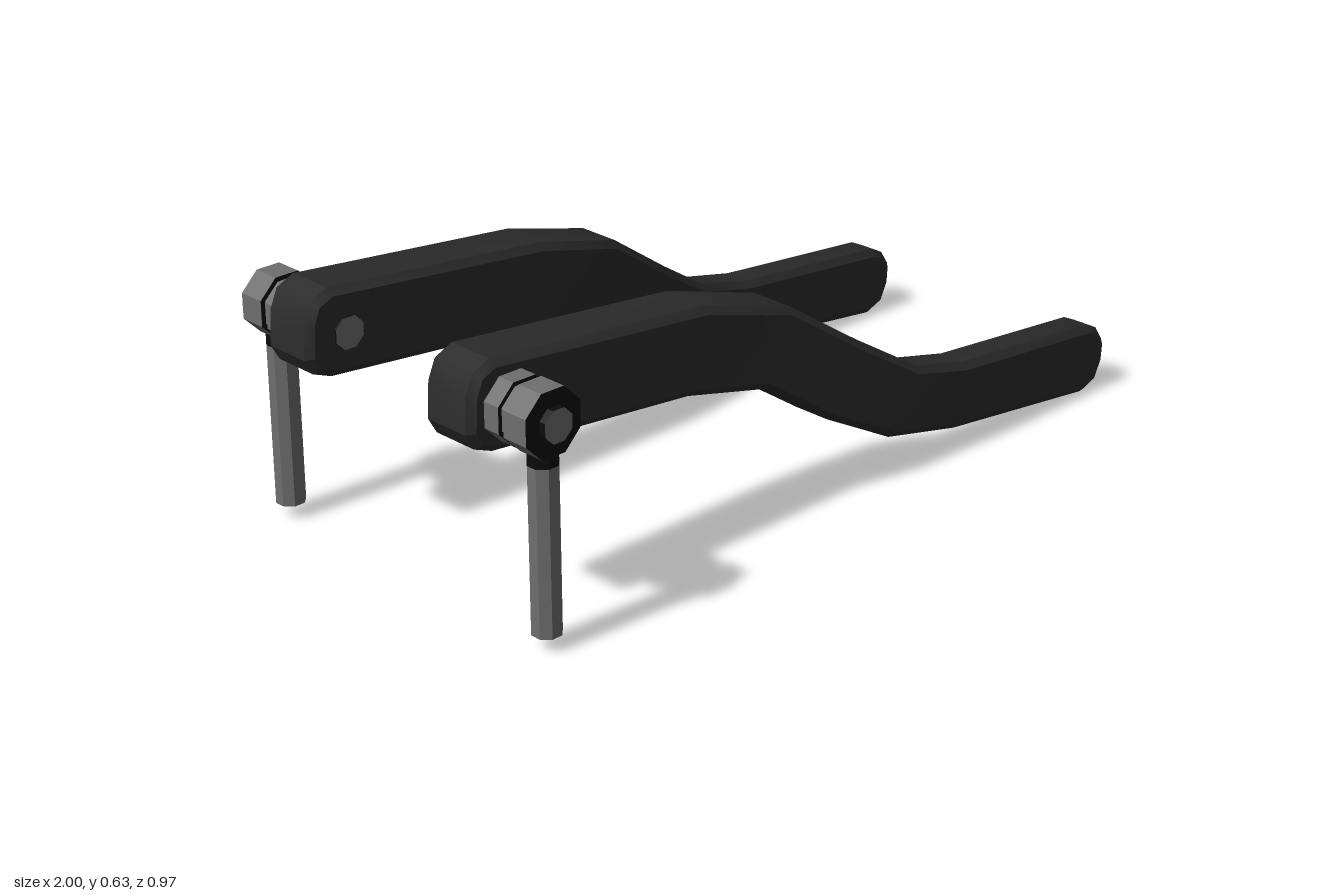
import * as THREE from 'three';
import { toCreasedNormals } from 'three/addons/utils/BufferGeometryUtils.js';

// Arm stations: bottom x, bottom y, top x, top y, inner z, outer z
const STATIONS = [
  [-1, 0.485, -0.995, 0.57, 0.19, 0.341],
  [-0.978, 0.447, -0.975, 0.615, 0.19, 0.341],
  [-0.93, 0.428, -0.93, 0.635, 0.19, 0.341],
  [-0.37, 0.374, -0.32, 0.573, 0.19, 0.341],
  [-0.15, 0.326, -0.07, 0.503, 0.212, 0.355],
  [0.035, 0.2, 0.125, 0.372, 0.25, 0.379],
  [0.22, 0.103, 0.31, 0.257, 0.305, 0.403],
  [0.445, 0.056, 0.47, 0.22, 0.308, 0.41],
  [0.925, 0, 0.935, 0.177, 0.308, 0.41],
  [0.97, 0.018, 0.975, 0.158, 0.308, 0.41],
  [0.997, 0.07, 1, 0.12, 0.308, 0.41],
];

// Bevelled bent bar; side = 1 for front (+z), -1 for back
function armGeometry(side) {
  const bevel = 0.017;
  const n = STATIONS.length;
  const outline = [
    ...STATIONS.map(s => ({ p: new THREE.Vector2(s[0], s[1]), zi: s[4], zo: s[5] })),
    ...STATIONS.slice().reverse().map(s => ({ p: new THREE.Vector2(s[2], s[3]), zi: s[4], zo: s[5] })),
  ];
  const m = outline.length;
  const inset = outline.map((o, i) => {
    const a = outline[(i + m - 1) % m].p, b = outline[(i + 1) % m].p;
    const e1 = o.p.clone().sub(a).normalize(), e2 = b.clone().sub(o.p).normalize();
    const d = e1.add(e2).normalize();
    return new THREE.Vector2(o.p.x - d.y * bevel, o.p.y + d.x * bevel);
  });
  // Four loops: inner face edge, two full outlines, outer face edge
  const pos = [];
  for (let level = 0; level < 4; level++) {
    outline.forEach((o, i) => {
      const p = level === 0 || level === 3 ? inset[i] : o.p;
      const z = [o.zi, o.zi + bevel, o.zo - bevel, o.zo][level];
      pos.push(p.x, p.y, z * side);
    });
  }
  const index = [];
  const quad = (a, b, c, d) => side > 0
    ? index.push(a, b, c, a, c, d)
    : index.push(a, c, b, a, d, c);
  for (let level = 0; level < 3; level++) {
    for (let i = 0; i < m; i++) {
      const j = (i + 1) % m, l = level * m;
      quad(l + i, l + j, l + m + j, l + m + i);
    }
  }
  // Flat faces run as a ladder between bottom and top edges
  for (let i = 0; i < n - 1; i++) {
    const t = m - 1 - i, l = 3 * m;
    quad(l + i, l + i + 1, l + t - 1, l + t);
    quad(i, t, t - 1, i + 1);
  }
  const g = new THREE.BufferGeometry();
  g.setAttribute('position', new THREE.Float32BufferAttribute(pos, 3));
  g.setIndex(index);
  return toCreasedNormals(g, 0.4);
}

export function createModel() {
  const mat = (name, color, flatShading = false) => {
    const m = new THREE.MeshStandardMaterial({ color, flatShading });
    m.name = name;
    return m;
  };
  const armBlack = mat('arm black', 0x2b2b2b);
  const steel = mat('steel', 0x6e6e6e, true);
  const dark = mat('dark metal', 0x0c0c0c, true);

  const model = new THREE.Group();
  model.name = 'leverPair';
  const px = -0.89, py = 0.525;

  for (const side of [1, -1]) {
    const unit = new THREE.Group();
    unit.name = side > 0 ? 'frontLever' : 'backLever';
    const add = (name, geometry, material, x = 0, y = 0, z = 0) => {
      const mesh = new THREE.Mesh(geometry, material);
      mesh.name = name;
      mesh.position.set(x, y, z);
      unit.add(mesh);
    };
    // Octagonal disc along z between two depths
    const disc = (name, r, z0, z1, material) => {
      const g = new THREE.CylinderGeometry(r, r, z1 - z0, 8, 1, false, Math.PI / 8);
      g.rotateX(Math.PI / 2);
      add(name, g, material, px, py, side * (z0 + z1) / 2);
    };

    add('arm', armGeometry(side), armBlack);

    // Pivot pin with bright ends, passing through arm and eye
    disc('pivotPin', 0.04, 0.185, 0.487, [dark, steel, steel]);
    disc('spacerNut', 0.078, 0.335, 0.385, [steel, dark, dark]);
    disc('spacerCollar', 0.068, 0.385, 0.402, steel);
    disc('rodEye', 0.08, 0.402, 0.47, [steel, dark, dark]);

    // Hanging rod with dark neck
    const rod = new THREE.CylinderGeometry(0.035, 0.035, 0.39, 8, 1, false, Math.PI / 8);
    add('rod', rod, steel, px, 0.23, side * 0.436);
    const neck = new THREE.CylinderGeometry(0.035, 0.035, 0.04, 8, 1, false, Math.PI / 8);
    add('rodNeck', neck, dark, px, 0.445, side * 0.436);

    model.add(unit);
  }
  return model;
}
